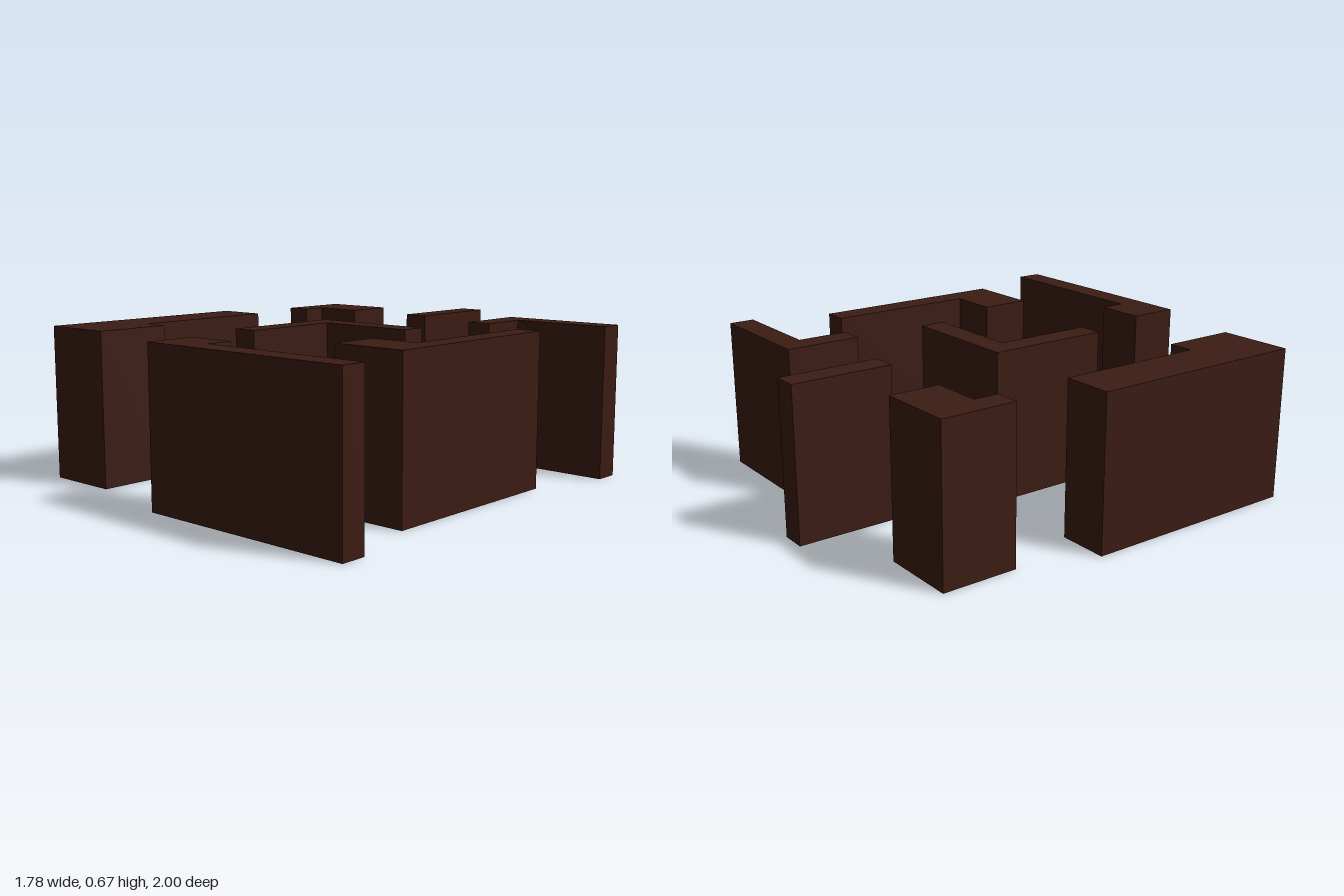
import * as THREE from 'three';

const U = 1 / 9;          // plan grid unit
const HEIGHT = 6 * U;

// Wall footprints: corners as [x, z] in grid units
const WALLS = {
  backRightBlock: [[-7, -7], [-4, -7], [-4, -5], [-6, -5], [-6, -4], [-7, -4]],
  backMiddleWall: [[-1, -9], [0, -9], [0, -5], [-1, -5]],
  backLeftCornerWall: [[3, -7], [8, -7], [8, -6], [4, -6], [4, -4], [3, -4]],
  rightThickWall: [[-8, -1], [-6, -1], [-6, 5], [-5, 5], [-5, 8], [-8, 8]],
  centreCornerWall: [[-2, -1], [3, -1], [3, 0], [-1, 0], [-1, 4], [-2, 4]],
  leftHookWall: [[6, -3], [7, -3], [7, 5], [4, 5], [4, 3], [6, 3]],
  frontWall: [[-1, 7], [1, 7], [1, 8], [8, 8], [8, 9], [-1, 9]],
};

// Extrude a footprint straight up from the ground
function wallGeometry(corners) {
  const shape = new THREE.Shape(corners.map(([x, z]) => new THREE.Vector2(x * U, -z * U)));
  const geometry = new THREE.ExtrudeGeometry(shape, { depth: HEIGHT, bevelEnabled: false });
  return geometry.rotateX(-Math.PI / 2);
}

export function createModel() {
  const group = new THREE.Group();
  group.name = 'wallMaze';
  const material = new THREE.MeshStandardMaterial({ color: 0x3c1c14 });
  for (const [name, corners] of Object.entries(WALLS)) {
    const wall = new THREE.Mesh(wallGeometry(corners), material);
    wall.name = name;
    group.add(wall);
  }
  return group;
}
